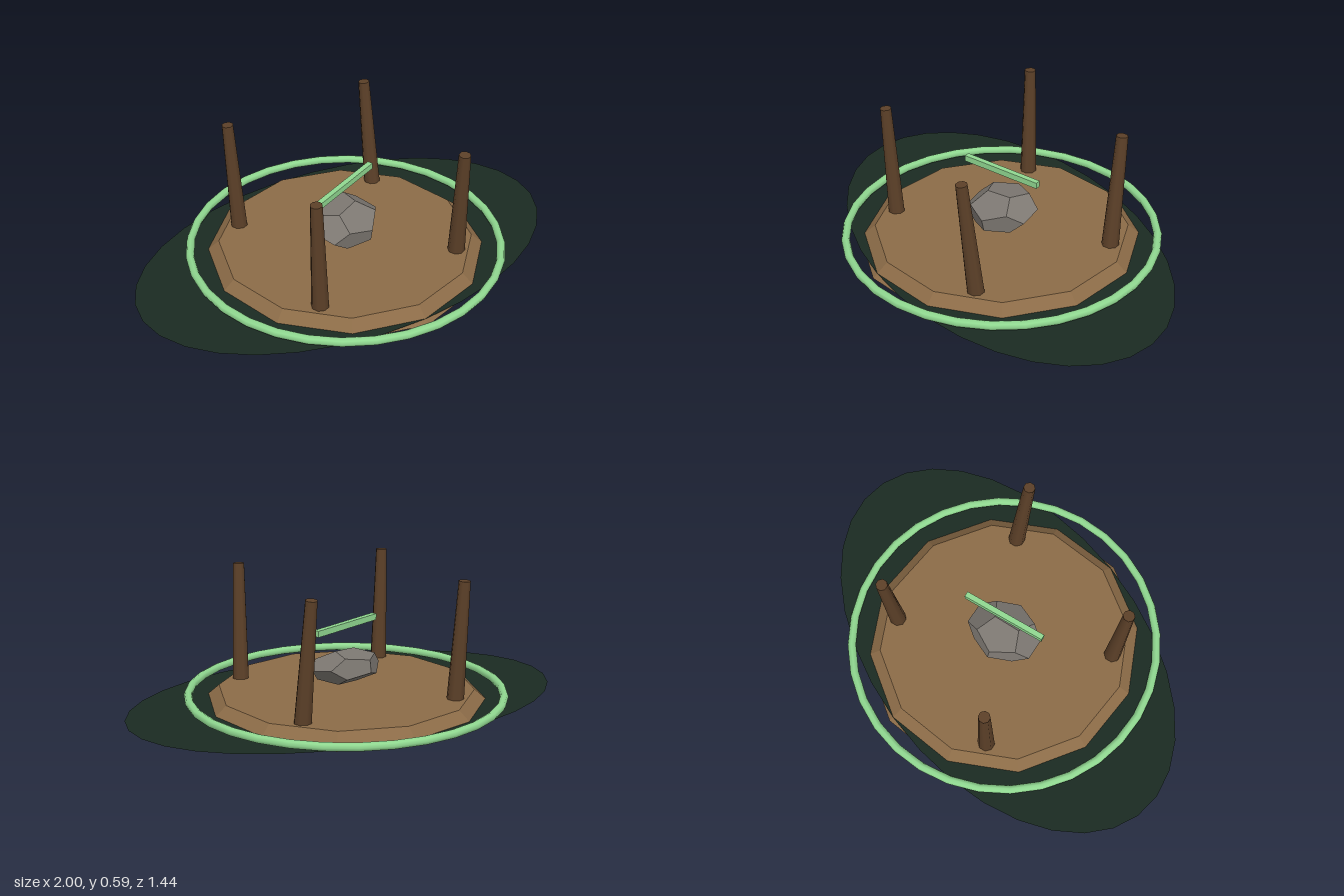
import * as THREE from 'three';

const mat = (color, opts = {}) => new THREE.MeshStandardMaterial({ color, ...opts });

export function createModel() {
  const model = new THREE.Group();
  const add = (name, geometry, material, y = 0) => {
    const mesh = new THREE.Mesh(geometry, material);
    mesh.name = name;
    mesh.position.y = y;
    model.add(mesh);
    return mesh;
  };

  // Flat oval ground patch
  const patch = add('groundPatch', new THREE.CircleGeometry(1, 32).rotateX(-Math.PI / 2),
    mat(0x1a2a22, { side: THREE.DoubleSide }), 0.018);
  patch.scale.z = 0.62;

  // Twelve-sided earth platform, narrower at the top
  add('platform', new THREE.CylinderGeometry(0.57, 0.64, 0.06, 12),
    mat(0x8b6b47, { flatShading: true }), 0.03);

  // Ring around the platform
  add('ring', new THREE.TorusGeometry(0.7, 0.019, 8, 32).rotateX(Math.PI / 2), mat(0x90d890), 0.043);

  // Four leaning, tapered posts
  const wood = mat(0x5c4028);
  const up = new THREE.Vector3(0, 1, 0);
  const addPost = (name, bottom, top) => {
    const axis = top.clone().sub(bottom);
    const post = add(name, new THREE.CylinderGeometry(0.026, 0.039, axis.length(), 8), wood);
    post.position.copy(bottom).add(top).multiplyScalar(0.5);
    post.quaternion.setFromUnitVectors(up, axis.normalize());
  };
  for (const [side, s] of [['front', 1], ['back', -1]]) {
    addPost(side + 'LeftPost', new THREE.Vector3(0.368, 0.04, 0.337 * s), new THREE.Vector3(0.346, 0.583, 0.385 * s));
    addPost(side + 'RightPost', new THREE.Vector3(-0.351, 0.04, 0.353 * s), new THREE.Vector3(-0.373, 0.583, 0.37 * s));
  }

  // Squashed faceted rock in the middle
  const rock = add('rock', new THREE.DodecahedronGeometry(0.173, 0), mat(0x7d7872, { flatShading: true }), 0.157);
  rock.scale.set(1, 0.46, 0.88);
  rock.rotation.set(0.2, 0.4, 0);

  // Slim bar floating above the rock
  const bar = add('bar', new THREE.BoxGeometry(0.39, 0.028, 0.025), mat(0x90d890), 0.346);
  bar.rotation.y = 0.4;

  return model;
}
